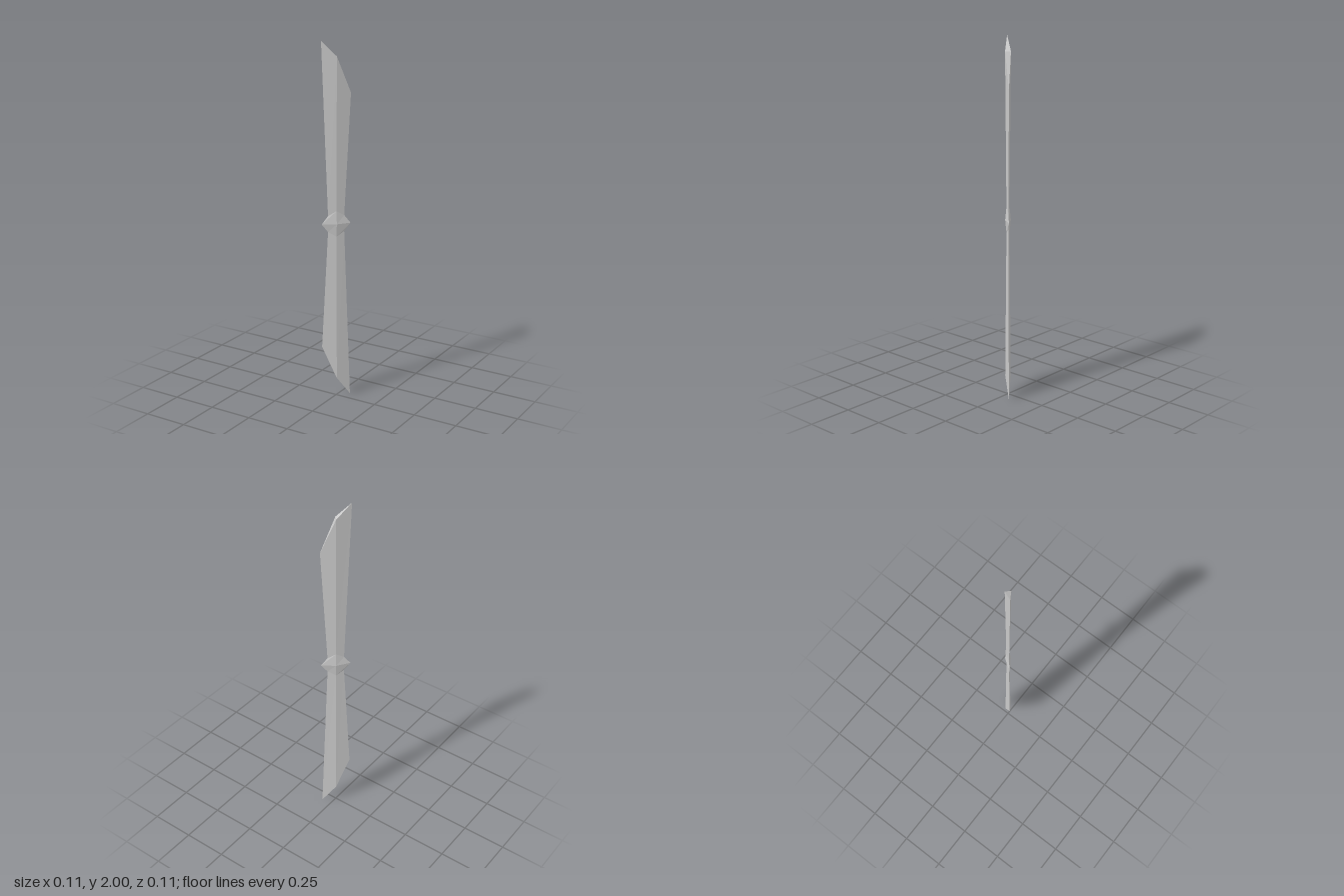
import * as THREE from 'three';

const material = new THREE.MeshStandardMaterial({ color: 0xcccccc, flatShading: true });

// Diamond ring: two sharp edges on one diagonal, two shallow ridges on the other.
// Heights are given for the left edge, the ridges and the right edge.
function ring(edge, ridge, yA, yRidge, yB) {
  return [
    [-edge, yA, edge],
    [ridge, yRidge, ridge],
    [edge, yB, -edge],
    [-ridge, yRidge, -ridge],
  ];
}

// Skins rings from bottom to top, with optional folded end caps.
function loft(name, rings, capBottom, capTop) {
  const index = [];
  for (let r = 0; r < rings.length - 1; r++) {
    for (let i = 0; i < 4; i++) {
      const a = r * 4 + i, b = r * 4 + (i + 1) % 4;
      index.push(a, b, b + 4, a, b + 4, a + 4);
    }
  }
  const t = (rings.length - 1) * 4;
  if (capBottom) index.push(0, 3, 1, 1, 3, 2);
  if (capTop) index.push(t, t + 1, t + 3, t + 1, t + 2, t + 3);
  const geometry = new THREE.BufferGeometry();
  geometry.setAttribute('position', new THREE.Float32BufferAttribute(rings.flat(2), 3));
  geometry.setIndex(index);
  const flat = geometry.toNonIndexed();
  flat.computeVertexNormals();
  const mesh = new THREE.Mesh(flat, material);
  mesh.name = name;
  return mesh;
}

export function createModel() {
  const group = new THREE.Group();
  group.name = 'doubleBlade';

  const lowerTip = ring(0.057, 0.011, 0.3, 0.11, 0);
  const lowerNeck = ring(0.032, 0.006, 0.967, 0.94, 0.967);
  const middle = ring(0.057, 0.011, 1.012, 1.012, 1.012);
  const upperNeck = ring(0.032, 0.006, 1.057, 1.084, 1.057);
  const upperTip = ring(0.057, 0.011, 2, 1.92, 1.725);

  // Two slanted blades meeting at a pointed grip
  group.add(loft('lowerBlade', [lowerTip, lowerNeck], true, false));
  group.add(loft('grip', [lowerNeck, middle, upperNeck], false, false));
  group.add(loft('upperBlade', [upperNeck, upperTip], false, true));
  return group;
}
